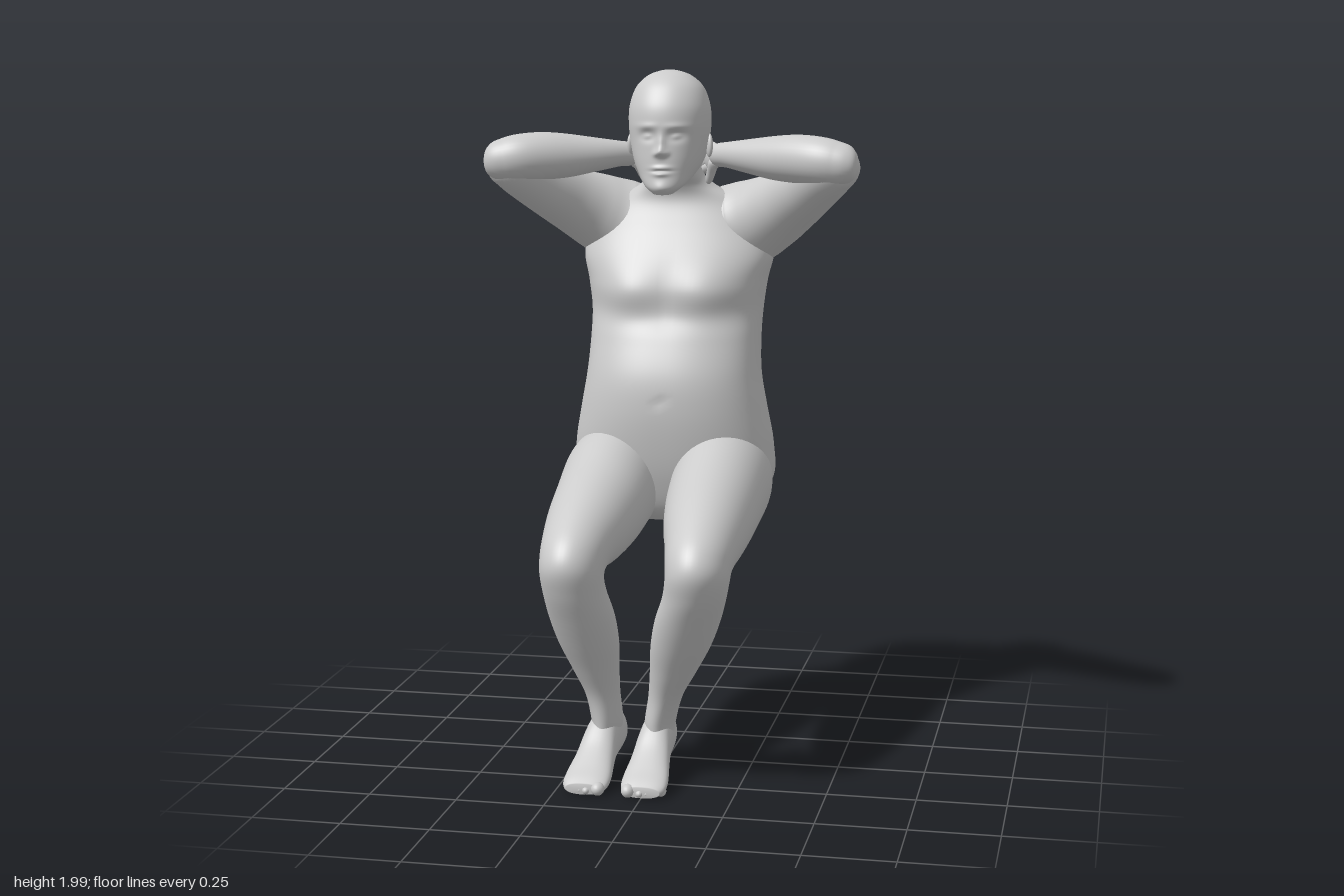
import * as THREE from 'three';

const MID = -0.025; // the body's centre line
const material = new THREE.MeshStandardMaterial({ color: 0xcccccc });

// Smooth interpolation through rows of numbers, u from 0 to 1
function sampleRows(rows, u) {
  const t = u * (rows.length - 1);
  const i = Math.min(Math.floor(t), rows.length - 2), f = t - i;
  const row = (k) => rows[Math.max(0, Math.min(rows.length - 1, k))];
  return rows[0].map((_, c) => {
    const [p, q, r, s] = [row(i - 1)[c], row(i)[c], row(i + 1)[c], row(i + 2)[c]];
    return q + 0.5 * f * (r - p + f * (2 * p - 5 * q + 4 * r - s + f * (3 * (q - r) + s - p)));
  });
}

// Closed skin: rings of points, wrapped around
function skin(name, steps, sides, pointAt) {
  const pos = [], index = [];
  for (let i = 0; i <= steps; i++)
    for (let j = 0; j < sides; j++) pos.push(...pointAt(i / steps, (j / sides) * Math.PI * 2));
  for (let i = 0; i < steps; i++)
    for (let j = 0; j < sides; j++) {
      const a = i * sides + j, b = i * sides + ((j + 1) % sides);
      index.push(a, a + sides, b, b, a + sides, b + sides);
    }
  const geo = new THREE.BufferGeometry();
  geo.setAttribute('position', new THREE.Float32BufferAttribute(pos, 3));
  geo.setIndex(index);
  geo.computeVertexNormals();
  const mesh = new THREE.Mesh(geo, material);
  mesh.name = name;
  return mesh;
}

// Loft with rows [front z, front y, back z, back y, centre x, half width];
// the ends close to a point, and sculpt(p, front) may move each point
function loft(name, rows, { steps = 60, sides = 40, power = 2, sculpt } = {}) {
  const close = ([zf, yf, zb, yb, cx]) => [(zf + zb) / 2, (yf + yb) / 2, (zf + zb) / 2, (yf + yb) / 2, cx, 0];
  const sq = (v) => Math.sign(v) * Math.abs(v) ** (2 / power);
  return skin(name, steps + 2, sides, (u, a) => {
    const k = Math.round(u * (steps + 2)) - 1;
    let r = sampleRows(rows, Math.max(0, Math.min(1, k / steps)));
    if (k < 0 || k > steps) r = close(r);
    const [zf, yf, zb, yb, cx, hw] = r, c = sq(Math.cos(a)), s = sq(Math.sin(a));
    const p = [cx + hw * c, (yf + yb) / 2 + ((yf - yb) / 2) * s, (zf + zb) / 2 + ((zf - zb) / 2) * s];
    if (sculpt) sculpt(p, s);
    return p;
  });
}

// Round limb through rows [x, y, z, radius]; side is 1 for left and -1 for right
function limb(name, rows, side, steps = 40, sides = 28) {
  const at = (u) => {
    const [x, y, z, r] = sampleRows(rows, u);
    return [new THREE.Vector3(side * x + MID * Math.max(0, 1 - x / 0.5), y, z), Math.max(r, 0)];
  };
  const up = new THREE.Vector3(0, 1, 0);
  return skin(name, steps, sides, (u, a) => {
    const [c, r] = at(u);
    const t = at(Math.min(1, u + 0.01))[0].sub(at(Math.max(0, u - 0.01))[0]).normalize();
    const s = new THREE.Vector3().crossVectors(t, up).normalize();
    const n = new THREE.Vector3().crossVectors(s, t);
    return c.addScaledVector(s, r * Math.cos(a)).addScaledVector(n, r * Math.sin(a)).toArray();
  });
}

// Soft bumps [x, y, x spread, y spread, depth], mirrored in x
const bump = (list, x, y) => list.reduce((sum, [bx, by, sx, sy, d]) =>
  sum + d * Math.exp(-(((Math.abs(x - MID) - bx) / sx) ** 2) - ((y - by) / sy) ** 2), 0);

function ellipsoid(name, x, y, z, rx, ry, rz) {
  const mesh = new THREE.Mesh(new THREE.SphereGeometry(1, 20, 14), material);
  mesh.name = name;
  mesh.position.set(x, y, z);
  mesh.scale.set(rx, ry, rz);
  return mesh;
}

function torso() {
  const rows = [
    [-0.13, 0.69, -0.24, 0.67, MID, 0.08], [-0.07, 0.73, -0.35, 0.7, MID, 0.21],
    [-0.03, 0.82, -0.418, 0.79, MID, 0.29], [-0.005, 0.92, -0.447, 0.9, MID, 0.292],
    [0.008, 1.03, -0.44, 1.02, MID, 0.272], [0, 1.13, -0.437, 1.12, MID, 0.255],
    [-0.04, 1.23, -0.453, 1.23, MID, 0.25], [-0.08, 1.3, -0.462, 1.32, MID, 0.253],
    [-0.088, 1.38, -0.468, 1.4, MID, 0.264], [-0.115, 1.46, -0.465, 1.48, MID, 0.28],
    [-0.165, 1.55, -0.44, 1.56, MID, 0.258], [-0.195, 1.62, -0.395, 1.62, MID, 0.19],
    [-0.185, 1.665, -0.345, 1.665, MID, 0.11], [-0.15, 1.71, -0.31, 1.71, MID, 0.076],
    [-0.13, 1.79, -0.29, 1.79, MID, 0.07],
  ];
  const chest = [[0.12, 1.365, 0.1, 0.075, 0.03], [0, 1.06, 0.015, 0.012, -0.006]];
  const back = [[0, 1.28, 0.04, 0.2, 0.008], [0, 0.79, 0.02, 0.08, 0.025]];
  return loft('torso', rows, {
    steps: 100, sides: 96, power: 2.25,
    sculpt: (p, s) => { p[2] += Math.abs(s) * bump(s > 0 ? chest : back, p[0], p[1]); },
  });
}

function head() {
  const group = new THREE.Group();
  group.name = 'head';
  const rows = [
    [-0.025, 1.65, -0.08, 1.66, MID, 0.03], [-0.012, 1.67, -0.15, 1.69, MID, 0.06],
    [-0.014, 1.71, -0.225, 1.72, MID, 0.085], [-0.015, 1.75, -0.262, 1.75, MID, 0.101],
    [-0.017, 1.8, -0.28, 1.8, MID, 0.112], [-0.014, 1.85, -0.285, 1.85, MID, 0.117],
    [-0.022, 1.9, -0.276, 1.9, MID, 0.114], [-0.05, 1.95, -0.247, 1.95, MID, 0.096],
    [-0.085, 1.982, -0.205, 1.982, MID, 0.063], [-0.118, 1.996, -0.168, 1.996, MID, 0.027],
    [-0.138, 1.999, -0.148, 1.999, MID, 0.005],
  ];
  // nose, nostrils, eye sockets, eyelids, brows, lips, mouth line, chin
  const face = [
    [0, 1.772, 0.014, 0.014, 0.017], [0, 1.795, 0.011, 0.025, 0.011], [0.014, 1.767, 0.009, 0.008, 0.007],
    [0.042, 1.817, 0.024, 0.015, -0.013], [0.042, 1.815, 0.014, 0.008, 0.009], [0.045, 1.843, 0.03, 0.009, 0.004],
    [0, 1.727, 0.025, 0.006, 0.007], [0, 1.709, 0.022, 0.006, 0.007], [0, 1.718, 0.028, 0.003, -0.004],
    [0, 1.67, 0.025, 0.016, 0.006],
  ];
  group.add(loft('skull', rows, {
    steps: 110, sides: 120, power: 2.1,
    sculpt: (p, s) => { if (s > 0) p[2] += s * bump(face, p[0], p[1]); },
  }));
  for (const side of [1, -1]) {
    const ear = ellipsoid('ear', MID + side * 0.113, 1.785, -0.155, 0.01, 0.034, 0.021);
    ear.rotation.y = side * 0.4;
    group.add(ear);
  }
  return group;
}

function arm(side) {
  const group = new THREE.Group();
  group.name = side > 0 ? 'leftArm' : 'rightArm';
  group.add(limb('upperArm', [
    [0.03, 1.52, -0.32, 0], [0.09, 1.53, -0.318, 0.105], [0.18, 1.547, -0.312, 0.125], [0.255, 1.582, -0.272, 0.112],
    [0.32, 1.62, -0.21, 0.095], [0.385, 1.667, -0.13, 0.083], [0.45, 1.718, -0.05, 0.073],
    [0.49, 1.737, -0.015, 0.058], [0.51, 1.745, 0.005, 0.035], [0.52, 1.75, 0.015, 0],
  ], side, 60, 36));
  group.add(limb('forearm', [
    [0.537, 1.742, -0.005, 0], [0.53, 1.742, -0.005, 0.03], [0.51, 1.743, -0.005, 0.052], [0.475, 1.746, -0.01, 0.062],
    [0.43, 1.752, -0.02, 0.067], [0.37, 1.755, -0.05, 0.068], [0.3, 1.755, -0.085, 0.062],
    [0.22, 1.757, -0.123, 0.048], [0.16, 1.758, -0.158, 0.037], [0.125, 1.755, -0.19, 0.031], [0.1, 1.752, -0.215, 0],
  ], side, 60, 36));
  const palm = ellipsoid('palm', side * 0.105 + MID * 0.78, 1.75, -0.218, 0.019, 0.042, 0.052);
  palm.rotation.y = side * 0.55;
  group.add(palm);
  // Fingers curl round the back of the head
  for (let i = 0; i < 4; i++) {
    const y = 1.778 - 0.019 * i, reach = [0.035, 0.022, 0.026, 0.045][i];
    group.add(limb('finger', [
      [0.108, y, -0.22, 0], [0.098, y, -0.235, 0.014], [0.075, y - 0.012, -0.262, 0.013],
      [reach + 0.015, y - 0.025, -0.283, 0.011], [reach, y - 0.03, -0.287, 0.009], [reach - 0.008, y - 0.032, -0.288, 0],
    ], side, 18, 12));
  }
  group.add(limb('thumb', [
    [0.115, 1.745, -0.185, 0], [0.113, 1.735, -0.192, 0.014], [0.103, 1.705, -0.212, 0.013],
    [0.093, 1.678, -0.228, 0.01], [0.088, 1.668, -0.233, 0],
  ], side, 18, 12));
  return group;
}

function leg(side) {
  const group = new THREE.Group();
  group.name = side > 0 ? 'leftLeg' : 'rightLeg';
  // The left shin leans further inward
  const place = ([zf, yf, zb, yb, cx, hw]) => {
    const lean = side > 0 ? 0.09 * Math.max(0, Math.min(1, (0.62 - yf) / 0.45)) : 0;
    return [zf, yf, zb, yb, MID + side * (cx - lean), hw];
  };
  const rows = [
    [-0.2, 0.95, -0.34, 0.86, 0.12, 0.07], [-0.11, 0.972, -0.37, 0.755, 0.145, 0.13], [-0.02, 0.955, -0.25, 0.675, 0.16, 0.143],
    [0.1, 0.905, 0.0, 0.625, 0.162, 0.134], [0.24, 0.848, 0.15, 0.608, 0.168, 0.118],
    [0.36, 0.785, 0.215, 0.607, 0.174, 0.101], [0.435, 0.73, 0.24, 0.604, 0.176, 0.092],
    [0.466, 0.665, 0.243, 0.595, 0.176, 0.088], [0.442, 0.585, 0.23, 0.57, 0.172, 0.088],
    [0.398, 0.5, 0.19, 0.5, 0.162, 0.091], [0.35, 0.416, 0.158, 0.42, 0.152, 0.084],
    [0.298, 0.33, 0.135, 0.33, 0.14, 0.065], [0.257, 0.25, 0.112, 0.25, 0.128, 0.048],
    [0.24, 0.17, 0.068, 0.15, 0.122, 0.042], [0.235, 0.11, 0.05, 0.1, 0.124, 0.034],
  ].map(place);
  group.add(loft('thighAndShin', rows.reverse(), { steps: 90, sides: 48 }));
  // Foot rows: z, top, bottom, half width
  const foot = [
    [0.03, 0.105, 0.08, 0.014], [0.042, 0.135, 0.062, 0.03], [0.09, 0.18, 0.049, 0.04], [0.16, 0.195, 0.04, 0.044],
    [0.22, 0.172, 0.03, 0.049], [0.275, 0.122, 0.02, 0.056], [0.33, 0.083, 0.013, 0.064],
    [0.37, 0.058, 0.01, 0.063], [0.392, 0.042, 0.012, 0.05],
  ];
  const footX = (z) => MID + side * (side > 0 ? 0.027 : 0.122 + (z - 0.1) * 0.06);
  group.add(loft('foot', foot.map(([z, t, b, w]) => [z, t, z, b, footX(z), w]).reverse(), { steps: 40, power: 2.3 }));
  for (let i = 0; i < 5; i++) {
    const r = i ? 0.013 : 0.019;
    group.add(ellipsoid('toe', footX(0.38) + side * (i ? -0.026 + i * 0.019 : -0.04), 0.01 + r, 0.384 - 0.007 * i, r, r, 0.023));
  }
  return group;
}

export function createModel() {
  const model = new THREE.Group();
  model.name = 'seatedFigure';
  model.add(torso(), head());
  for (const side of [1, -1]) model.add(arm(side), leg(side));
  return model;
}
